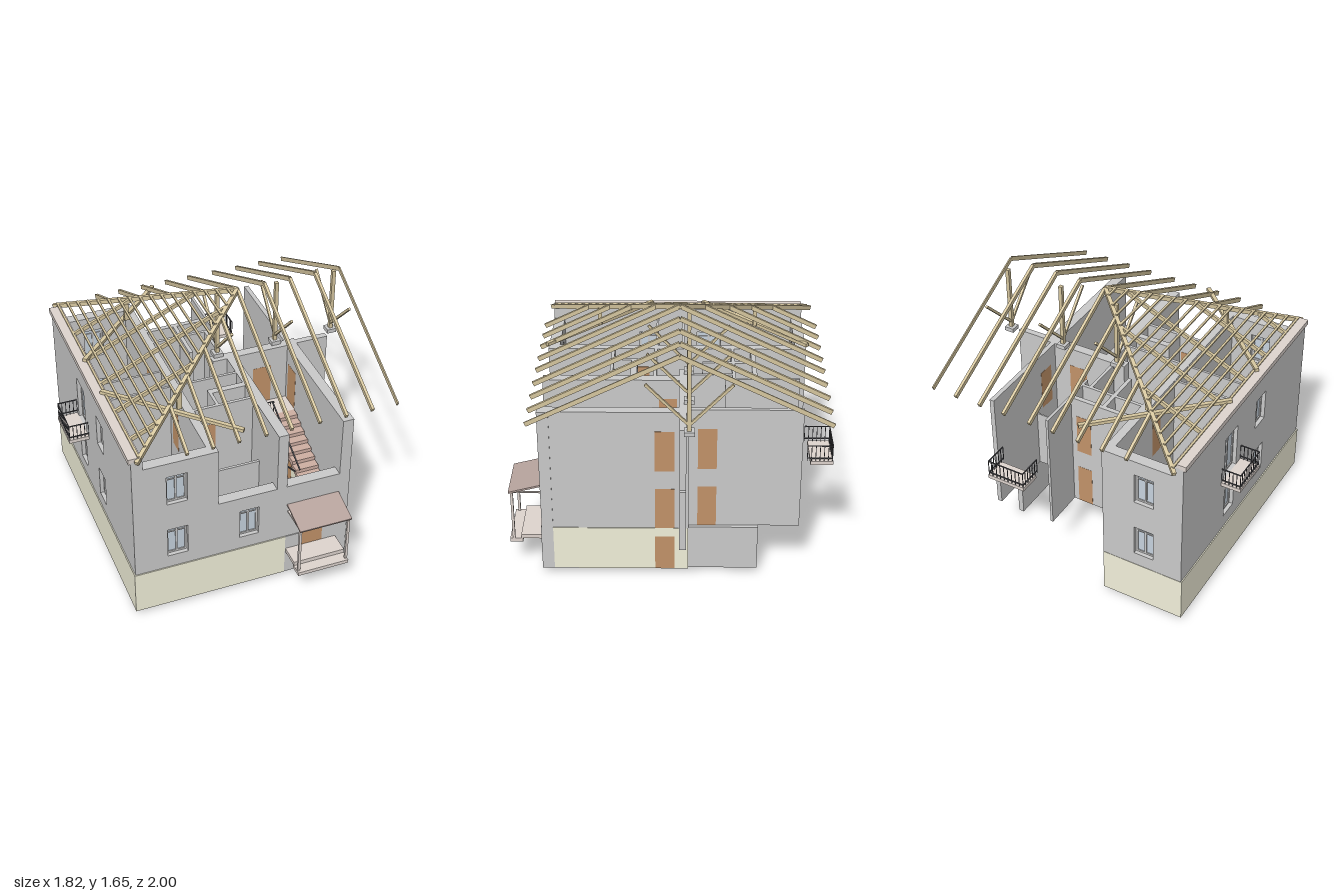
import * as THREE from 'three';

const mat = (c) => new THREE.MeshStandardMaterial({ color: c, side: THREE.DoubleSide });
const GREY = mat(0xcccccc), CREAM = mat(0xf4f2dc), DOOR = mat(0xc4946a), WOOD = mat(0xd8c8a0);
const FRAME = mat(0xe8ebe8), GLASS = mat(0xc8d4e0), SLAB = mat(0xe0d6d0), STEP = mat(0xd0b0a4);
const ROOF = mat(0xb8a49e), IRON = mat(0x55555a);

export function createModel() {
  const model = new THREE.Group();
  const add = (name, geo, m, parent = model) => {
    const mesh = new THREE.Mesh(geo, m);
    mesh.name = name;
    parent.add(mesh);
    return mesh;
  };
  // axis-aligned box from its limits
  const box = (name, x0, x1, y0, y1, z0, z1, m, parent) =>
    add(name, new THREE.BoxGeometry(x1 - x0, y1 - y0, z1 - z0), m, parent)
      .position.set((x0 + x1) / 2, (y0 + y1) / 2, (z0 + z1) / 2);
  // timber between two points, w wide and h high
  const beam = (name, a, b, w, h, m, parent) => {
    const p = new THREE.Vector3(...a), q = new THREE.Vector3(...b);
    const d = q.clone().sub(p), len = d.length();
    d.normalize();
    const side = Math.abs(d.y) > 0.99 ? new THREE.Vector3(1, 0, 0) : new THREE.Vector3(0, 1, 0).cross(d).normalize();
    const mesh = add(name, new THREE.BoxGeometry(w, h, len), m, parent);
    mesh.quaternion.setFromRotationMatrix(new THREE.Matrix4().makeBasis(side, d.clone().cross(side), d));
    mesh.position.copy(p.add(q).multiplyScalar(0.5));
  };
  // wall with openings: along 'x' (p0..p1 are z) or along 'z' (p0..p1 are x)
  // opening: [kind, a0, a1, y0, y1]
  const wall = (name, axis, p0, p1, outline, openings = [], m = GREY) => {
    const s = axis === 'x' ? 1 : -1;
    const poly = (pts) => pts.map(([a, y]) => new THREE.Vector2(a * s, y));
    const rect = (a0, a1, y0, y1) => [[a0, y0], [a1, y0], [a1, y1], [a0, y1]];
    const pts = typeof outline[0] === 'number' ? rect(...outline) : outline;
    const shape = new THREE.Shape(poly(pts));
    for (const [, ...r] of openings) shape.holes.push(new THREE.Path(poly(rect(...r))));
    const geo = new THREE.ExtrudeGeometry(shape, { depth: p1 - p0, bevelEnabled: false });
    geo.translate(0, 0, p0);
    if (axis === 'z') geo.rotateY(Math.PI / 2);
    add(name, geo, m);
    const part = (n, a0, a1, y0, y1, q0, q1, mm) => axis === 'x'
      ? box(n, a0, a1, y0, y1, q0, q1, mm) : box(n, q0, q1, y0, y1, a0, a1, mm);
    for (const [kind, a0, a1, y0, y1] of openings) {
      if (kind === 'door') { part('door', a0, a1, y0, y1, p0 - 0.001, p1 + 0.001, DOOR); continue; }
      const c = (p0 + p1) / 2, f = 0.012, mid = (a0 + a1) / 2, top = y1 - 0.045;
      part('windowGlass', a0, a1, y0, y1, c - 0.003, c + 0.003, GLASS);
      for (const [b0, b1] of [[a0, a0 + f], [mid - f / 2, mid + f / 2], [a1 - f, a1]])
        part('windowFrame', b0, b1, y0, y1, c - 0.01, c + 0.01, FRAME);
      for (const [v0, v1] of [[y0, y0 + f], [top, top + f / 2], [y1 - f, y1]])
        part('windowFrame', a0, a1, v0, v1, c - 0.01, c + 0.01, FRAME);
    }
  };

  const B = 0.03, F1 = 0.33, F2 = 0.735, T = 1.14;
  const upDown = (kind, a0, a1) => kind === 'door'
    ? [['door', a0, a1, F1, 0.61], ['door', a0, a1, F2, 1.01]]
    : [['window', a0, a1, 0.42, 0.63], ['window', a0, a1, 0.83, 1.04]];

  // plinth and basement walls
  box('plinthFront', -0.787, 0.2, B, F1, 0.72, 0.797, CREAM);
  box('plinthLeft', -0.787, -0.71, B, F1, -0.872, 0.797, CREAM);
  box('plinthBack', -0.787, -0.245, B, F1, -0.872, -0.8, CREAM);
  box('basementWall', -0.3, -0.245, B, F1, -0.8, 0.72, GREY);
  box('basementWall', 0.135, 0.2, B, F1, -0.115, 0.72, GREY);
  box('basementWall', -0.245, 0.55, B, F1, -0.115, -0.055, GREY);
  box('entranceBase', 0.2, 0.62, B, F1, 0.72, 0.795, GREY);
  wall('plinthRight', 'z', 0.55, 0.62, [-0.115, 0.72, B, F1], [['door', -0.03, 0.09, B + 0.002, 0.27]], CREAM);
  box('basementWall', 0.57, 0.605, B, F1, -0.545, -0.115, GREY);

  // outer walls; the front one is cut down to the upper floor between the cross walls
  wall('frontWall', 'x', 0.72, 0.79, [[-0.78, F1], [0.62, F1], [0.62, T], [0.55, T], [0.55, F2], [0.2, F2],
    [0.2, T], [0.135, T], [0.135, F2], [-0.245, F2], [-0.245, T], [-0.78, T]],
  [...upDown('window', -0.57, -0.44), ['window', -0.105, 0.02, 0.42, 0.63], ['door', 0.295, 0.45, 0.34, 0.515]]);
  box('entranceDoorFoot', 0.295, 0.45, 0.23, 0.341, 0.719, 0.797, DOOR);
  wall('leftWall', 'z', -0.78, -0.71, [-0.87, 0.79, F1, 1.21],
    [...upDown('window', 0.09, 0.22), ['window', -0.315, -0.185, 0.42, 0.63], ['window', -0.33, -0.17, F2, 1.04]]);
  box('wallPlate', -0.795, -0.715, 1.2, 1.235, -0.87, 0.79, SLAB);
  wall('backWall', 'x', -0.87, -0.8, [-0.71, -0.245, F1, T], upDown('window', -0.59, -0.46));
  wall('rightWall', 'z', 0.55, 0.615, [-0.055, 0.72, F1, T], upDown('door', -0.03, 0.09));
  wall('rightRearWall', 'z', 0.55, 0.58, [-0.8, -0.115, F1, T], upDown('door', -0.285, -0.17));
  box('lowerWingWall', 0.61, 0.855, F1, F2, -0.1, -0.06, GREY);
  box('upperWingWall', 0.605, 0.83, F2, T, -0.1, -0.06, GREY);

  // bearing cross walls
  wall('crossWall', 'z', -0.3, -0.245, [-0.8, 0.72, F1, T],
    [...upDown('door', 0.14, 0.24), ...upDown('door', -0.36, -0.26)]);
  wall('stairWall', 'z', 0.135, 0.2, [-0.115, 0.72, F1, T], upDown('door', -0.04, 0.07));
  wall('middleWall', 'x', -0.115, -0.055, [0.04, 0.62, F1, T], upDown('door', 0.315, 0.44));
  wall('rearSideWall', 'z', 0.165, 0.182, [-0.8, -0.34, F1, T]);

  // partitions
  wall('partition', 'x', -0.54, -0.51, [-0.245, 0.165, F1, T], upDown('door', 0.03, 0.13));
  wall('partition', 'x', 0.36, 0.38, [-0.245, 0.135, F1, T], upDown('door', -0.235, -0.11));
  for (const [x0, x1, z0, z1, y1] of [
    [-0.245, 0.165, -0.405, -0.385, T], [-0.065, -0.04, -0.51, -0.2, T], [0.105, 0.125, -0.39, -0.13, T],
    [-0.245, -0.07, -0.19, -0.125, F2], [-0.245, 0.135, 0.088, 0.106, T], [-0.1, 0.135, 0.21, 0.25, T],
    [-0.1, -0.08, 0.25, 0.36, T], [-0.245, 0.135, 0.488, 0.505, F2], [0.18, 0.55, -0.352, -0.342, F2],
    [-0.71, -0.3, -0.085, -0.07, T], [-0.71, -0.3, 0.085, 0.1, T]])
    box('partition', x0, x1, F1, y1, z0, z1, GREY);

  // staircase: landings and flights
  for (const y of [F1, F2]) box('floorLanding', 0.2, 0.55, y - 0.02, y, -0.055, 0.1, SLAB);
  for (const y of [0.23, 0.53]) box('halfLanding', 0.2, 0.55, y - 0.02, y, 0.56, 0.72, SLAB);
  const flight = (x0, x1, za, ya, zb, yb, n) => {
    const sg = Math.sign(zb - za), run = (zb - za) / n, rise = (yb - ya) / n;
    for (let i = 0; i < n; i++) {
      const z0 = za + run * i, z1 = z0 + run, top = ya + rise * (i + 1);
      box('stairStep', x0, x1, top - rise, top, Math.min(z0, z1), Math.max(z0, z1), STEP);
    }
    beam('stairSlab', [(x0 + x1) / 2, ya - 0.01, za - sg * 0.005], [(x0 + x1) / 2, yb - 0.01 - rise, zb], x1 - x0, 0.02, STEP);
  };
  flight(0.205, 0.355, 0.18, 0.02, 0.56, 0.23, 8);
  flight(0.39, 0.545, 0.56, 0.23, 0.33, F1, 4);
  flight(0.205, 0.355, 0.1, F1, 0.56, 0.53, 8);
  flight(0.39, 0.545, 0.56, 0.53, 0.1, F2, 8);
  box('stairFoot', 0.21, 0.36, 0, 0.03, 0.16, 0.23, STEP);

  // railings follow a list of plan points
  const railing = (pts, y) => {
    const g = new THREE.Group();
    g.name = 'railing';
    model.add(g);
    for (let i = 0; i + 1 < pts.length; i++) {
      const [x0, z0] = pts[i], [x1, z1] = pts[i + 1];
      const n = Math.round(Math.hypot(x1 - x0, z1 - z0) / 0.026);
      for (const h of [0.02, 0.105]) beam('rail', [x0, y + h, z0], [x1, y + h, z1], 0.006, 0.006, IRON, g);
      for (let k = 0; k <= n; k++) {
        const x = x0 + (x1 - x0) * k / n, z = z0 + (z1 - z0) * k / n;
        box('baluster', x - 0.002, x + 0.002, y, y + 0.105, z - 0.002, z + 0.002, IRON, g);
      }
    }
  };
  railing([[0.205, 0.1], [0.4, 0.1]], F2);
  beam('handrail', [0.39, 0.84, 0.1], [0.39, 0.63, 0.56], 0.008, 0.008, IRON);
  beam('handrail', [0.355, 0.43, 0.1], [0.355, 0.63, 0.56], 0.008, 0.008, IRON);

  // balconies
  box('leftBalconySlab', -0.91, -0.78, 0.71, F2, -0.37, -0.105, SLAB);
  railing([[-0.78, -0.365], [-0.905, -0.365], [-0.905, -0.11], [-0.78, -0.11]], F2);
  box('backBalconySlab', 0.23, 0.485, 0.71, F2, -1, -0.86, SLAB);
  railing([[0.235, -0.84], [0.235, -0.995], [0.48, -0.995], [0.48, -0.84]], F2);

  // porch
  box('porchSlab', 0.205, 0.545, 0.2, 0.228, 0.79, 0.93, SLAB);
  box('porchStep', 0.205, 0.545, 0.175, 0.2, 0.92, 1, SLAB);
  for (const x of [0.216, 0.536]) {
    box('porchPost', x - 0.008, x + 0.008, 0.2, 0.53, 0.968, 0.984, SLAB);
    beam('porchBeam', [x, 0.535, 0.79], [x, 0.535, 0.985], 0.012, 0.01, SLAB);
  }
  beam('porchRoof', [0.378, 0.588, 0.79], [0.378, 0.535, 0.995], 0.345, 0.012, ROOF);

  // roof frame: the hip plane rises from the left eave to the ridge end
  const RZ = -0.06, RX = 0.2, EX = -0.75, HALF = 0.865, EY = 1.21, RY = 1.64;
  const hipY = (x) => EY + (x - EX) / (RX - EX) * (RY - EY);
  const hipD = (x) => HALF * (RX - x) / (RX - EX);
  for (const x of [-0.45, -0.29, -0.13, 0.04, 0.2, 0.38, 0.55, 0.72, 0.885])
    for (const s of [1, -1]) {
      const d = x < RX ? hipD(x) : 0, w = x > 0.8 ? 0.008 : 0.018;
      beam('rafter', [x, 1.205, RZ + s * (HALF + 0.02)], [x, x < RX ? hipY(x) : RY, RZ + s * d], w, 0.028, WOOD);
    }
  for (const s of [1, -1]) {
    beam('hipRafter', [EX, EY, RZ + s * HALF], [RX, RY, RZ], 0.024, 0.028, WOOD);
    const mid = RZ + s * 0.5 + 0.02;
    beam('cornerTie', [-0.75, 1.247, mid - s * 0.33], [-0.085, 1.247, mid + s * 0.32], 0.026, 0.022, WOOD);
    box('hipPost', -0.385, -0.355, 1.255, 1.375, mid - 0.012, mid + 0.012, WOOD);
  }
  for (const z of [-0.54, -0.25, 0.03, 0.32, 0.6]) {
    const end = RX - Math.abs(z - RZ) / HALF * (RX - EX);
    beam('jackRafter', [EX - 0.01, EY - 0.005, z], [end, hipY(end), z], 0.018, 0.026, WOOD);
  }
  for (let x = -0.73; x < 0.17; x += 0.055)
    beam('batten', [x, hipY(x) + 0.018, RZ - hipD(x)], [x, hipY(x) + 0.018, RZ + hipD(x)], 0.014, 0.01, WOOD);

  // post blocks carrying king posts with struts
  for (const x of [0.09, 0.485, 0.875]) {
    box('postBlock', x - 0.031, x + 0.031, T, 1.167, -0.147, -0.085, GREY);
    box('kingPost', x - 0.012, x + 0.012, 1.167, 1.595, -0.127, -0.103, WOOD);
    for (const s of [1, -1])
      beam('strut', [x, 1.21, -0.115 + s * 0.01], [x, 1.46, -0.115 + s * 0.25], 0.016, 0.016, WOOD);
  }
  return model;
}
